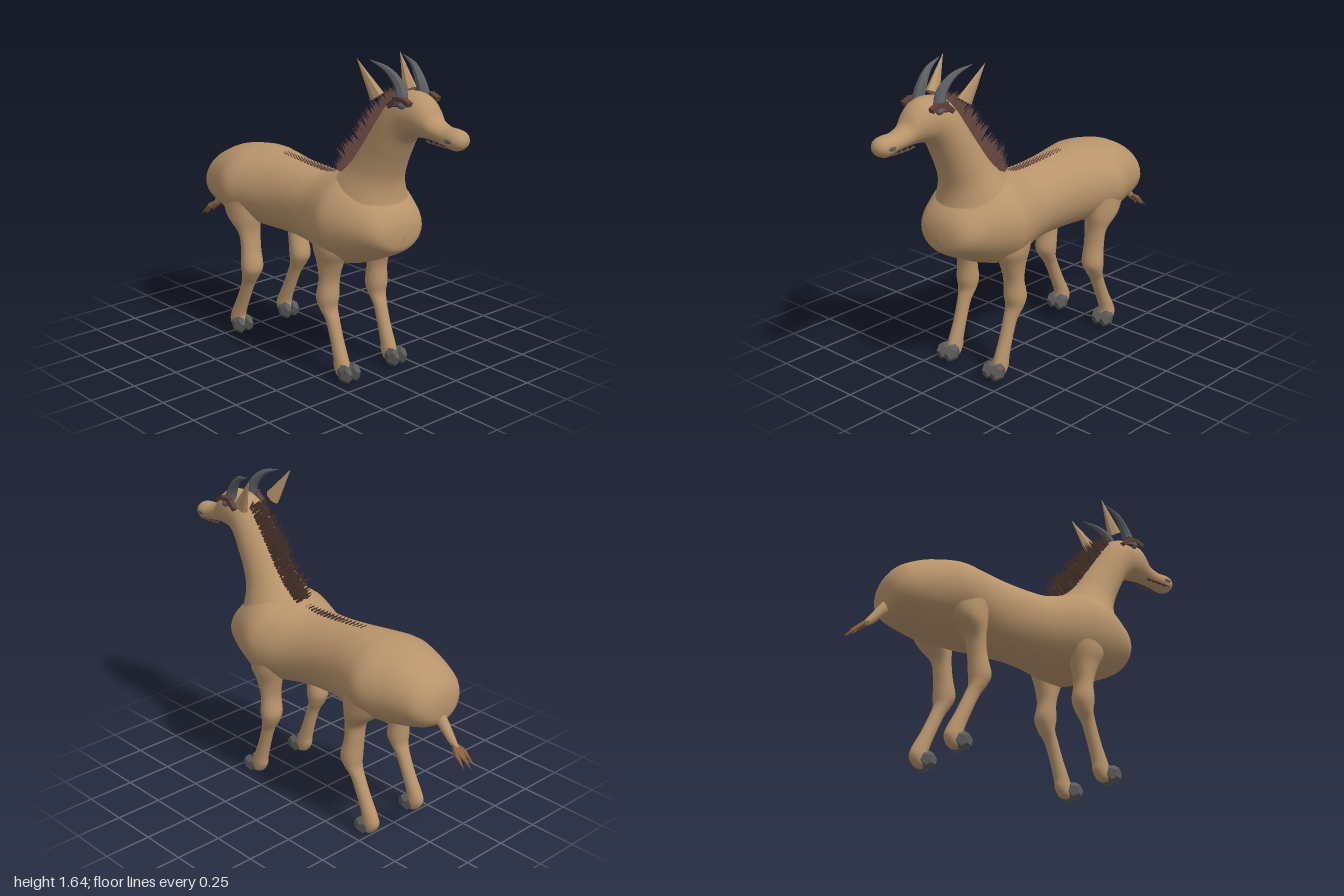
import * as THREE from 'three';
import { mergeGeometries } from 'three/addons/utils/BufferGeometryUtils.js';

const mat = (name, color) => Object.assign(new THREE.MeshStandardMaterial({ color }), { name });
const V = (x, y, z) => new THREE.Vector3(x, y, z);

// Catmull-Rom blend of equal-length number rows
function smoothRows(rows, steps) {
  const out = [];
  for (let i = 0; i < rows.length - 1; i++) {
    const [p, a, b, n] = [-1, 0, 1, 2].map(k => rows[Math.min(rows.length - 1, Math.max(0, i + k))]);
    for (let s = 0; s < steps; s++) {
      const t = s / steps;
      out.push(a.map((v, k) => v + 0.5 * t * (b[k] - p[k]
        + t * (2 * p[k] - 5 * v + 4 * b[k] - n[k] + t * (3 * (v - b[k]) + n[k] - p[k])))));
    }
  }
  out.push(rows[rows.length - 1]);
  return out;
}

// Skin over elliptical rings; row = [ax, ay, bx, by, halfWidth, zCentre]
function loft(rows, steps = 5, sides = 32) {
  const pos = [], idx = [];
  const rings = smoothRows(rows, steps);
  rings.forEach(([ax, ay, bx, by, w, z = 0], i) => {
    for (let j = 0; j < sides; j++) {
      const a = j / sides * Math.PI * 2, c = Math.cos(a) / 2;
      pos.push((ax + bx) / 2 + (ax - bx) * c, (ay + by) / 2 + (ay - by) * c, z + Math.max(w, 0.0005) * Math.sin(a));
      if (i === rings.length - 1) continue;
      const k = (j + 1) % sides, p = i * sides, q = p + sides;
      idx.push(p + j, p + k, q + k, p + j, q + k, q + j);
    }
  });
  const g = new THREE.BufferGeometry();
  g.setAttribute('position', new THREE.Float32BufferAttribute(pos, 3));
  g.setIndex(idx);
  g.computeVertexNormals();
  return g;
}

function faceted(g) {
  const f = g.index ? g.toNonIndexed() : g;
  f.computeVertexNormals();
  return f;
}

// Pointed faceted cone from root to tip
function spike(root, tip, r, sides = 4) {
  const d = tip.clone().sub(root), h = d.length();
  const g = new THREE.ConeGeometry(r, h, sides).translate(0, h / 2, 0);
  g.applyQuaternion(new THREE.Quaternion().setFromUnitVectors(V(0, 1, 0), d.normalize()));
  return faceted(g.translate(root.x, root.y, root.z));
}

export function createModel() {
  const model = new THREE.Group();
  const hide = mat('tan hide', 0xb8946b), hair = mat('dark brown hair', 0x5c4138);
  const horn = mat('grey horn', 0x5c6064), hoofMat = mat('grey hoof', 0x5b5a58);
  const tuft = mat('tail brown', 0x86603f);
  const add = (name, geo, m) => {
    const mesh = new THREE.Mesh(geo, m);
    mesh.name = name;
    model.add(mesh);
    return mesh;
  };
  let seed = 7;
  const rnd = () => (seed = (seed * 16807) % 2147483647) / 2147483647;

  // Trunk: x, top, bottom, half width
  add('trunk', loft([
    [-0.812, 0.80, 0.78, 0], [-0.80, 0.87, 0.71, 0.10], [-0.76, 0.93, 0.672, 0.16], [-0.70, 0.97, 0.65, 0.19],
    [-0.60, 1.01, 0.63, 0.225], [-0.47, 1.028, 0.62, 0.268], [-0.35, 1.028, 0.615, 0.235],
    [-0.20, 1.015, 0.615, 0.198], [-0.05, 1.003, 0.614, 0.19], [0.08, 1.0, 0.602, 0.21],
    [0.20, 1.03, 0.582, 0.255], [0.30, 1.055, 0.575, 0.282], [0.40, 1.04, 0.605, 0.255],
    [0.50, 0.98, 0.65, 0.21], [0.57, 0.92, 0.685, 0.165], [0.605, 0.86, 0.715, 0.105], [0.617, 0.79, 0.77, 0],
  ].map(([x, t, b, w]) => [x, t, x, b, w])), hide);

  // Neck, head and muzzle: nape point, throat point, half width
  add('neckAndHead', loft([
    [0.06, 0.93, 0.57, 0.76, 0.19], [0.13, 0.985, 0.58, 0.85, 0.205], [0.22, 1.042, 0.555, 0.945, 0.172],
    [0.30, 1.12, 0.552, 1.03, 0.138], [0.38, 1.23, 0.577, 1.11, 0.12], [0.46, 1.345, 0.61, 1.185, 0.112],
    [0.52, 1.43, 0.645, 1.25, 0.106], [0.58, 1.485, 0.68, 1.283, 0.10], [0.66, 1.506, 0.71, 1.293, 0.095],
    [0.735, 1.495, 0.75, 1.297, 0.085], [0.785, 1.455, 0.785, 1.298, 0.071], [0.82, 1.405, 0.82, 1.295, 0.06],
    [0.88, 1.378, 0.88, 1.288, 0.053], [0.935, 1.375, 0.94, 1.275, 0.056], [0.972, 1.367, 0.972, 1.283, 0.048],
    [0.992, 1.348, 0.992, 1.30, 0.028], [1.0, 1.326, 1.0, 1.324, 0],
  ]), hide);

  // Legs: front x, back x, height, half width, z centre
  const legs = {
    front: [[0.36, 0.16, 0.80, 0.085, 0.17], [0.37, 0.175, 0.68, 0.085, 0.165], [0.335, 0.195, 0.60, 0.067, 0.162],
      [0.305, 0.21, 0.51, 0.058, 0.162], [0.307, 0.195, 0.42, 0.061, 0.166], [0.30, 0.215, 0.36, 0.05, 0.166],
      [0.32, 0.25, 0.30, 0.037, 0.163], [0.353, 0.282, 0.20, 0.034, 0.162], [0.39, 0.305, 0.11, 0.036, 0.162],
      [0.405, 0.31, 0.065, 0.037, 0.162], [0.40, 0.335, 0.025, 0.03, 0.162], [0.37, 0.365, 0.01, 0, 0.162]],
    hind: [[-0.32, -0.58, 0.80, 0.085, 0.165], [-0.325, -0.52, 0.68, 0.085, 0.165], [-0.335, -0.43, 0.60, 0.066, 0.162],
      [-0.325, -0.415, 0.51, 0.058, 0.162], [-0.302, -0.412, 0.41, 0.061, 0.166], [-0.325, -0.412, 0.355, 0.05, 0.166],
      [-0.36, -0.435, 0.30, 0.037, 0.163], [-0.405, -0.482, 0.20, 0.034, 0.162], [-0.44, -0.53, 0.11, 0.037, 0.162],
      [-0.44, -0.54, 0.065, 0.039, 0.162], [-0.455, -0.515, 0.025, 0.03, 0.162], [-0.48, -0.485, 0.01, 0, 0.162]],
  };
  for (const side of [1, -1]) {
    const label = side > 0 ? 'Left' : 'Right';
    for (const [kind, rows] of Object.entries(legs)) {
      add(kind + 'Leg' + label, loft(rows.map(([a, b, y, w, z]) => [a, y, b, y, w, side * z]), 5, 20), hide);
      // Cloven hoof made of two faceted toes
      const x = kind === 'front' ? 0.408 : -0.455;
      const toes = [-1, 1].map(t => faceted(new THREE.DodecahedronGeometry(1, 0)
        .scale(0.05, 0.049, 0.03).rotateZ(0.2).translate(x, 0.052, side * 0.162 + t * 0.027)));
      add(kind + 'Hoof' + label, mergeGeometries(toes), hoofMat);
    }

    // Ear: flattened cone
    const ear = spike(V(0, 0, 0), V(0, 0.205, 0), 0.045, 7).scale(1, 1, 0.62);
    ear.rotateX(0.17).rotateZ(0.56).translate(0.528, 1.47, 0.105);
    const earMesh = add('ear' + label, ear, hide);

    // Curved horn, tapering to a point
    const path = [V(0.665, 1.45, 0.07), V(0.635, 1.535, 0.068), V(0.575, 1.6, 0.084), V(0.475, 1.637, 0.108)];
    const curve = new THREE.CatmullRomCurve3(path), n = 12, sides = 7;
    const g = new THREE.TubeGeometry(curve, n, 0.032, sides);
    const p = g.attributes.position;
    for (let i = 0; i <= n; i++) {
      const c = curve.getPointAt(i / n), k = 1 - 0.97 * (i / n) ** 1.4;
      for (let j = 0; j <= sides; j++) {
        const id = i * (sides + 1) + j, v = V().fromBufferAttribute(p, id).sub(c).multiplyScalar(k).add(c);
        p.setXYZ(id, v.x, v.y, v.z);
      }
    }
    const hornMesh = add('horn' + label, faceted(g), horn);

    // Eye with dark tufted lids
    const lids = [[0.615, 1.452, 0.7], [0.655, 1.478, 0], [0.705, 1.472, -0.4]].map(([x, y, a]) =>
      faceted(new THREE.BoxGeometry(0.052, 0.022, 0.03).rotateZ(a).translate(x, y, 0.092)));
    lids.push(spike(V(0.67, 1.455, 0.09), V(0.59, 1.435, 0.105), 0.016));
    const lidMesh = add('eyelid' + label, mergeGeometries(lids), hair);
    const eyeMesh = add('eye' + label, new THREE.SphereGeometry(0.02, 12, 8).translate(0.675, 1.452, 0.09), horn);

    // Nostril and mouth line
    const nostril = add('nostril' + label,
      new THREE.SphereGeometry(1, 12, 8).scale(0.022, 0.01, 0.005).translate(0.937, 1.325, 0.056), horn);
    const lips = [0, 1, 2, 3].map(i => spike(V(0.80 + i * 0.035, 1.301 - i * 0.002, 0.046),
      V(0.85 + i * 0.035, 1.291, 0.054), 0.009));
    const mouth = add('mouth' + label, mergeGeometries(lips), hair);
    if (side < 0) {
      // Mirror to the other cheek, keeping the face order outward
      for (const m of [earMesh, hornMesh, lidMesh, eyeMesh, nostril, mouth]) m.scale.z = -1;
    }
  }

  // Upright mane along the nape
  const nape = new THREE.CatmullRomCurve3([V(0.19, 1.02, 0), V(0.30, 1.11, 0), V(0.38, 1.22, 0),
    V(0.46, 1.335, 0), V(0.545, 1.445, 0)]);
  const mane = [];
  for (let i = 0; i < 42; i++) {
    for (let row = -3; row <= 3; row++) {
      const t = Math.min(1, (i + rnd()) / 42), root = nape.getPointAt(t);
      root.z = row * 0.011;
      const len = (0.085 + 0.045 * rnd()) * Math.min(1, 0.45 + t * 4) * (1 - 0.35 * t ** 3);
      const a = 2.3 + 0.5 * (rnd() - 0.5);
      mane.push(spike(root, V(root.x + len * Math.cos(a), root.y + len * Math.sin(a), root.z * 1.2), 0.009));
    }
  }
  add('mane', mergeGeometries(mane), hair);

  // Short bristles along the back
  const bristles = [];
  for (let i = 0; i < 17; i++) {
    const x = -0.24 + i * 0.025, y = 1.008 - 0.012 * Math.sin((x + 0.24) / 0.4 * Math.PI / 2);
    for (const z of [-0.014, 0, 0.014]) bristles.push(spike(V(x, y - 0.008, z), V(x - 0.03, y + 0.024, z), 0.01));
  }
  add('backBristles', mergeGeometries(bristles), hair);

  // Tail stem and its pointed tuft
  add('tail', loft([[-0.75, 0.74, -0.70, 0.80, 0.03].map((v, i) => [-0.79, 0.765, -0.73, 0.71, 0.034][i]),
    [-0.835, 0.705, -0.79, 0.675, 0.028], [-0.885, 0.637, -0.855, 0.613, 0.019],
    [-0.915, 0.597, -0.905, 0.587, 0.004]].reverse(), 4, 10), hide);
  const strands = [[-1.0, 0.515, 0.0], [-0.985, 0.525, 0.033], [-0.98, 0.53, -0.036], [-0.96, 0.53, 0.015], [-0.965, 0.56, -0.015]]
    .map(([x, y, z]) => faceted(mergeGeometries([
      spike(V(-0.915, 0.588, z * 0.7), V(x, y, z), 0.015, 5),
      spike(V(-0.915, 0.588, z * 0.7), V(-0.86, 0.635, 0), 0.015, 5)])));
  add('tailTuft', mergeGeometries(strands), tuft);
  return model;
}
